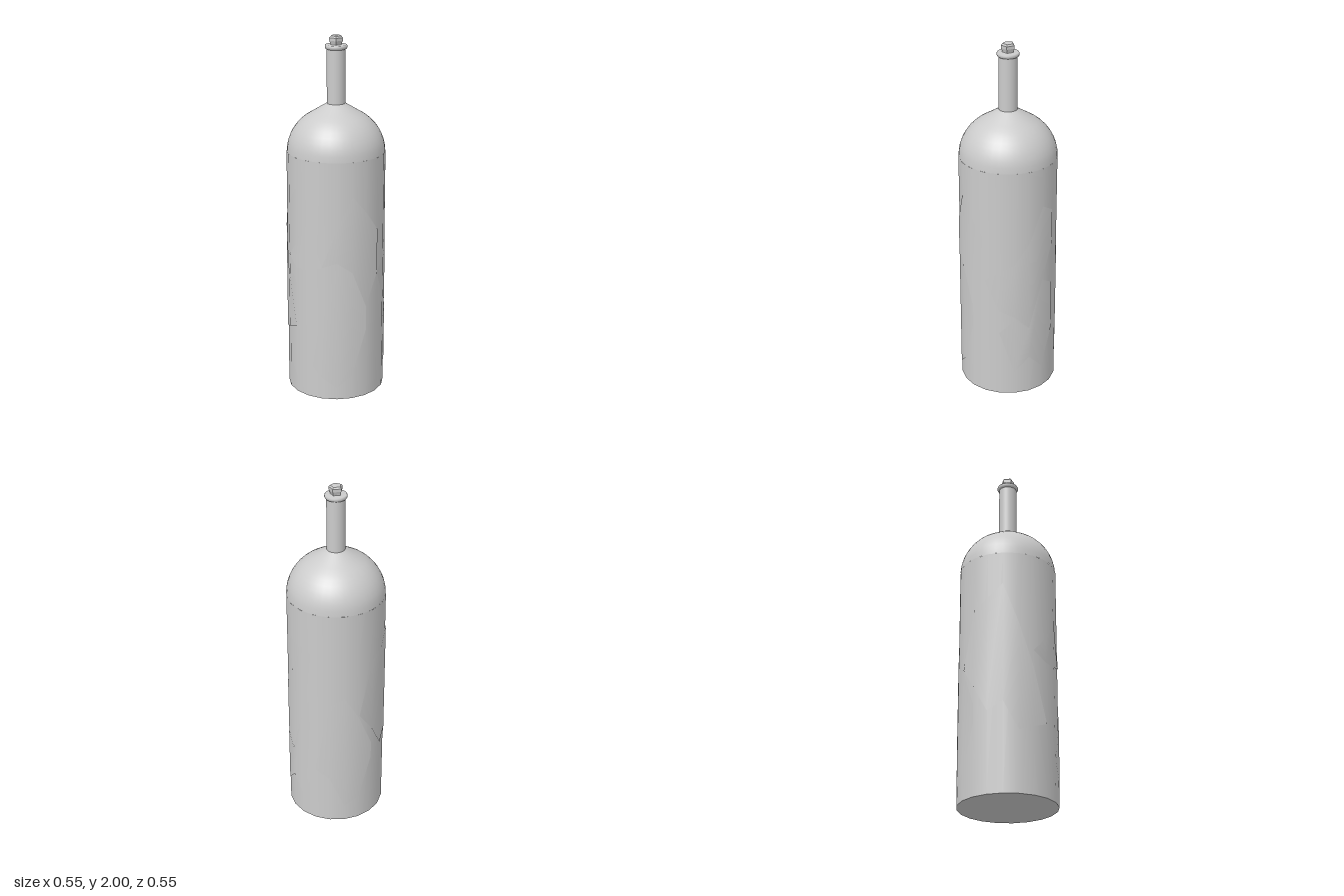
import * as THREE from 'three';

const SIDES = 20, R = 0.27;

const material = (extra = {}) => new THREE.MeshStandardMaterial({ color: 0xcccccc, ...extra });

function lathe(name, points, sides, extra) {
  const geo = new THREE.LatheGeometry(points.map(([r, y]) => new THREE.Vector2(r, y)), sides);
  const mesh = new THREE.Mesh(geo, material(extra));
  mesh.name = name;
  return mesh;
}

// Thin facet hugging the wall: one [lower, upper] height pair per wall edge, from edge "start" on
function wallFacet(start, columns, lift) {
  const pos = [], index = [];
  columns.forEach(([low, high], i) => {
    const a = (start + i) * Math.PI * 2 / SIDES;
    const r = R + lift;
    for (const y of [low, high]) pos.push(r * Math.sin(a), y, r * Math.cos(a));
    if (i) {
      const p = 2 * (i - 1);
      index.push(p, p + 2, p + 3, p, p + 3, p + 1);
    }
  });
  const geo = new THREE.BufferGeometry();
  geo.setAttribute('position', new THREE.Float32BufferAttribute(pos, 3));
  geo.setIndex(index);
  geo.computeVertexNormals();
  return new THREE.Mesh(geo, material({ side: THREE.DoubleSide }));
}

export function createModel() {
  const bottle = new THREE.Group();
  bottle.name = 'bottle';

  // Straight wall with a flat bottom
  const body = new THREE.Mesh(new THREE.CylinderGeometry(R, R, 1.37, SIDES, 1), material());
  body.position.y = 0.685;
  body.name = 'body';
  bottle.add(body);

  // Rounded shoulder, ending in a slight cone under the neck
  const arc = [];
  for (let i = 0; i <= 8; i++) {
    const a = i * Math.PI / 24;
    arc.push([0.268 * Math.cos(a), 1.37 + 0.245 * Math.sin(a)]);
  }
  bottle.add(lathe('shoulder', [...arc, [0.05, 1.633]], 40));

  // Neck, lip and faceted stopper
  bottle.add(lathe('neck', [[0.05, 1.62], [0.05, 1.94]], 32));
  bottle.add(lathe('lip', [
    [0.048, 1.925], [0.056, 1.928], [0.06, 1.936], [0.06, 1.944], [0.056, 1.95], [0, 1.951],
  ], 32));
  const stopper = lathe('stopper', [
    [0.03, 1.94], [0.031, 1.955], [0.038, 1.972], [0.038, 1.988], [0.03, 1.997], [0, 2],
  ], 5, { flatShading: true });
  stopper.rotation.y = Math.PI / 2;
  bottle.add(stopper);

  // Irregular facets around the wall
  const facets = new THREE.Group();
  facets.name = 'wallFacets';
  [
    [-1, [[0.22, 0.22], [0.13, 0.45], [0.07, 0.81], [0.14, 0.75], [0.4, 0.54]], 0.003],
    [0, [[0.78, 0.78], [0.81, 1], [0.75, 1.18], [0.54, 1.08], [0.72, 0.97]], 0.004],
    [4, [[0.72, 0.72], [0.54, 0.78], [0.5, 0.83], [0.42, 0.95], [0.7, 1.15], [0.9, 1.1]], 0.002],
    [5, [[0.4, 0.4], [0.14, 0.48], [0.23, 0.42], [0.14, 0.7], [0.35, 0.65]], 0.003],
    [9, [[0.35, 0.35], [0.3, 0.8], [0.1, 0.85], [0.15, 0.7], [0.4, 0.5]], 0.002],
    [12, [[0.72, 0.72], [0.6, 1.05], [0.45, 1.1], [0.5, 1.18], [0.34, 0.95], [0.37, 0.7], [0.4, 0.4]], 0.004],
    [-3, [[0.8, 0.8], [0.75, 0.89], [0.75, 1.03], [0.78, 0.78]], 0.002],
  ].forEach(([start, columns, lift], i) => {
    const facet = wallFacet(start, columns, lift);
    facet.name = `wallFacet${i + 1}`;
    facets.add(facet);
  });
  bottle.add(facets);

  return bottle;
}
